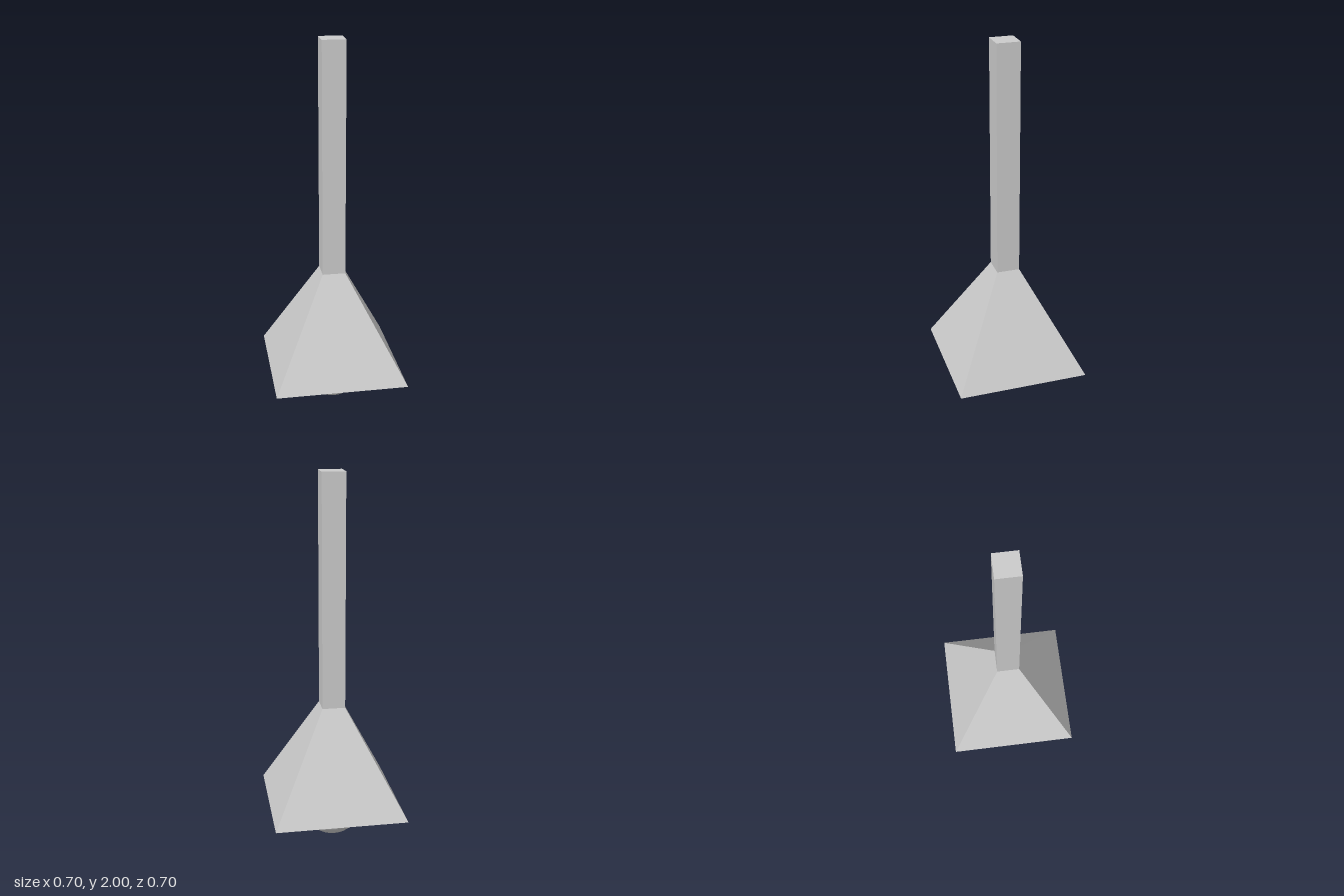
import * as THREE from 'three';

const material = new THREE.MeshStandardMaterial({ color: 0xcccccc, flatShading: true });

// Square solid from a profile of [half width, height] points
function squareLathe(profile) {
  const points = profile.map(([half, y]) => new THREE.Vector2(half * Math.SQRT2, y));
  return new THREE.LatheGeometry(points, 4, Math.PI / 4).toNonIndexed();
}

export function createModel() {
  const group = new THREE.Group();
  const add = (name, geometry, y = 0) => {
    geometry.computeVertexNormals();
    const mesh = new THREE.Mesh(geometry, material);
    mesh.name = name;
    mesh.position.y = y;
    group.add(mesh);
  };

  const stemHalf = 0.0615, shoulder = 0.757, rim = 0.2, bulbRadius = 0.166;

  // Pyramid shade with a shallow recess underneath
  add('shade', squareLathe([
    [0, 0.33], [0.095, 0.33], [0.352, rim], [stemHalf, shoulder],
  ]));

  // Square hanging stem
  const stemLength = 2 - shoulder;
  add('stem', new THREE.BoxGeometry(stemHalf * 2, stemLength, stemHalf * 2).toNonIndexed(), shoulder + stemLength / 2);

  // Faceted bulb against the recess ceiling
  add('bulb', new THREE.SphereGeometry(bulbRadius, 32, 16).toNonIndexed(), bulbRadius);

  return group;
}
